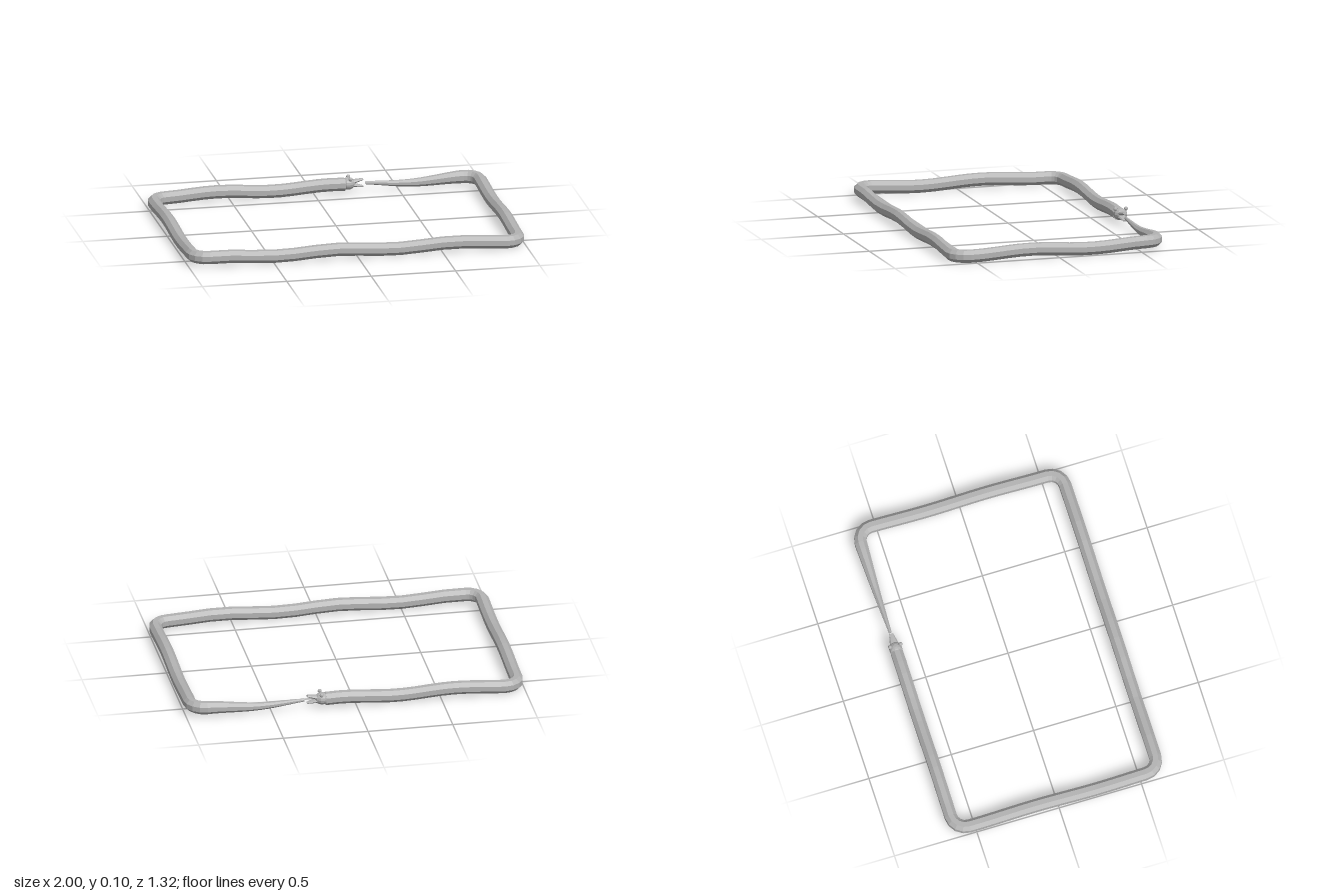
import * as THREE from 'three';

const RAIL_X = 0.965, RAIL_Z = 0.62, CORNER = 0.085, RADIUS = 0.039;
const SIDES = 8, STEPS = 14, CORNER_STEPS = 4;
const CX = RAIL_X - CORNER, CZ = RAIL_Z - CORNER;

// Height of the body's gentle wave, phase in cycles
const waveY = (p) => 0.045 + 0.009 * Math.cos(p * Math.PI * 2);

// Stations along the body: centre, outward normal and radius
function bodyStations() {
  // start, end, outward normal angle, wave phase at start and end
  const rails = [
    { a: [0.18, -RAIL_Z], b: [-CX, -RAIL_Z], angle: -90, p: [-0.13, 1.45] },
    { a: [-RAIL_X, -CZ], b: [-RAIL_X, CZ], angle: -180, p: [1.46, 2.9] },
    { a: [-CX, RAIL_Z], b: [CX, RAIL_Z], angle: -270, p: [2.92, 5.45] },
    { a: [RAIL_X, CZ], b: [RAIL_X, -CZ], angle: -360, p: [5.5, 6.96] },
    { a: [CX, -RAIL_Z], b: [0.305, -RAIL_Z], angle: -450, p: [7.03, 7.9], taper: true },
  ];
  const corners = [[-CX, -CZ], [-CX, CZ], [CX, CZ], [CX, -CZ]];
  const stations = [];
  rails.forEach((rail, k) => {
    const rad = THREE.MathUtils.degToRad(rail.angle);
    for (let i = 0; i <= STEPS; i++) {
      const t = i / STEPS;
      stations.push({
        x: THREE.MathUtils.lerp(rail.a[0], rail.b[0], t),
        y: waveY(THREE.MathUtils.lerp(rail.p[0], rail.p[1], t)),
        z: THREE.MathUtils.lerp(rail.a[1], rail.b[1], t),
        nx: Math.cos(rad), nz: Math.sin(rad),
        r: rail.taper ? THREE.MathUtils.lerp(RADIUS, 0.009, t) : RADIUS,
      });
    }
    if (k === corners.length) return;
    for (let i = 1; i < CORNER_STEPS; i++) {
      const t = i / CORNER_STEPS, ang = rad - t * Math.PI / 2;
      const nx = Math.cos(ang), nz = Math.sin(ang);
      stations.push({
        x: corners[k][0] + CORNER * nx,
        y: waveY(THREE.MathUtils.lerp(rail.p[1], rails[k + 1].p[0], t)),
        z: corners[k][1] + CORNER * nz,
        nx, nz, r: RADIUS,
      });
    }
  });
  return stations;
}

// Octagonal rings joined into a closed tube
function bodyGeometry() {
  const stations = bodyStations(), pos = [], index = [];
  for (const s of stations) {
    for (let j = 0; j < SIDES; j++) {
      const a = ((j + 0.5) / SIDES) * Math.PI * 2;
      const out = Math.cos(a) * s.r;
      pos.push(s.x + s.nx * out, s.y + Math.sin(a) * s.r, s.z + s.nz * out);
    }
  }
  for (let i = 0; i < stations.length - 1; i++) {
    for (let j = 0; j < SIDES; j++) {
      const a = i * SIDES + j, b = i * SIDES + (j + 1) % SIDES;
      index.push(a, a + SIDES, b, b, a + SIDES, b + SIDES);
    }
  }
  // End caps at neck and tail tip
  const last = (stations.length - 1) * SIDES;
  for (let j = 1; j < SIDES - 1; j++) {
    index.push(0, j, j + 1, last, last + j + 1, last + j);
  }
  const geo = new THREE.BufferGeometry();
  geo.setAttribute('position', new THREE.Float32BufferAttribute(pos, 3));
  geo.setIndex(index);
  const flat = geo.toNonIndexed();
  flat.computeVertexNormals();
  return flat;
}

export function createModel() {
  const model = new THREE.Group();
  model.name = 'serpentFrame';
  const skin = new THREE.MeshStandardMaterial({ color: 0xb2b2b2 });
  skin.name = 'grey skin';
  skin.flatShading = true;

  const add = (parent, name, geo, x, y, z) => {
    const mesh = new THREE.Mesh(geo, skin);
    mesh.name = name;
    mesh.position.set(x, y, z);
    parent.add(mesh);
    return mesh;
  };

  add(model, 'body', bodyGeometry(), 0, 0, 0);

  // Head facing the tail tip
  const head = new THREE.Group();
  head.name = 'head';
  head.position.set(0.2, 0.055, -RAIL_Z);
  model.add(head);
  const skull = add(head, 'skull', new THREE.SphereGeometry(0.04, 10, 8), 0, 0, 0);
  skull.scale.set(1.1, 0.9, 1);

  // Open jaws
  for (const side of [1, -1]) {
    const jaw = add(head, side > 0 ? 'upperJaw' : 'lowerJaw',
      new THREE.CylinderGeometry(0.012, 0.025, 0.06, 8), 0.059, side * 0.016, 0);
    jaw.scale.x = 0.5;
    jaw.rotation.z = -Math.PI / 2 + side * 0.2;
  }

  // Eyes
  for (const side of [1, -1]) {
    add(head, side > 0 ? 'leftEye' : 'rightEye',
      new THREE.SphereGeometry(0.012, 8, 6), 0.008, 0.033, side * 0.032);
  }
  return model;
}
